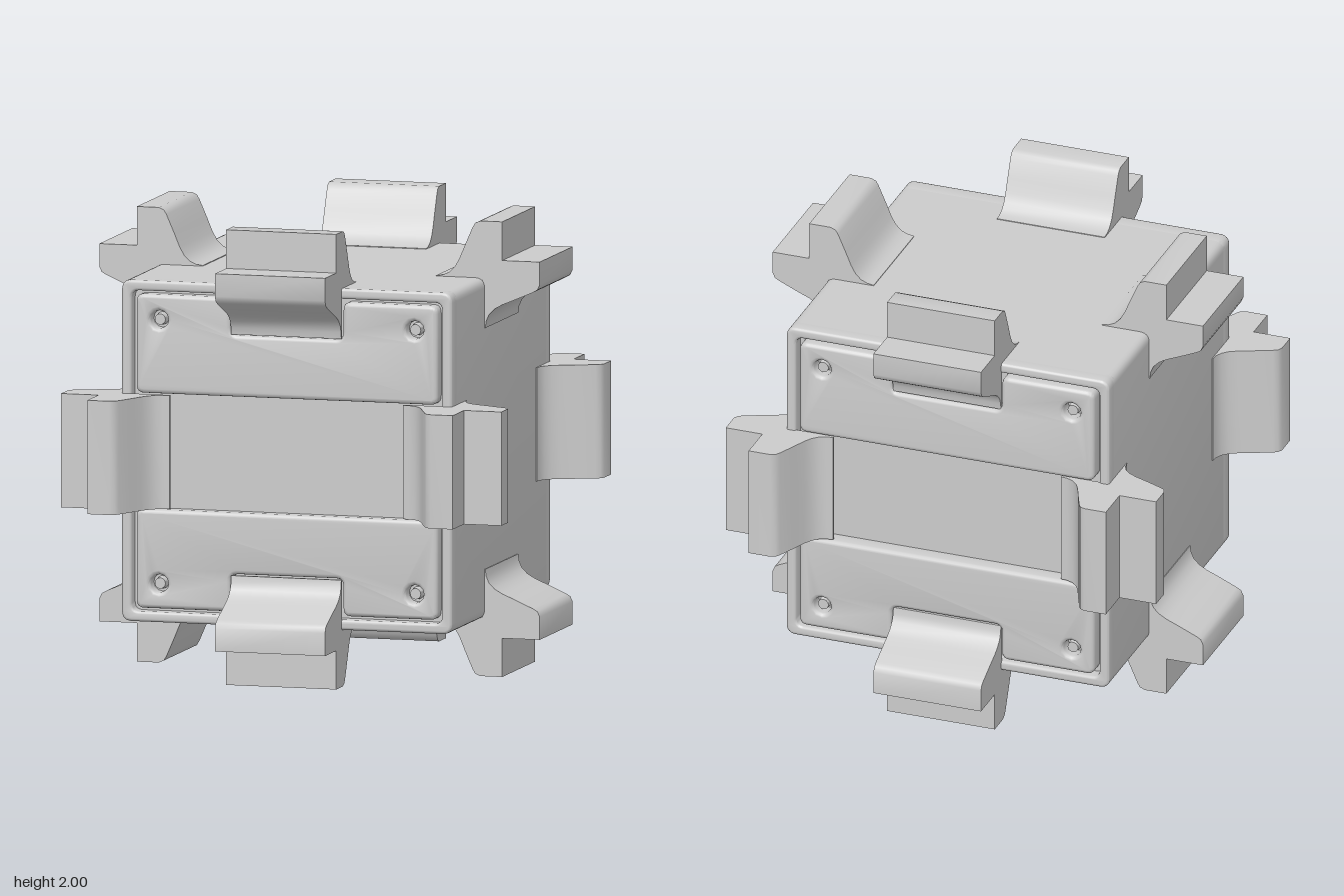
import * as THREE from 'three';
import { toCreasedNormals } from 'three/addons/utils/BufferGeometryUtils.js';

const material = new THREE.MeshStandardMaterial({ color: 0xcccccc });

function part(name, geometry, crease = 0.7) {
  const mesh = new THREE.Mesh(toCreasedNormals(geometry, crease), material);
  mesh.name = name;
  return mesh;
}

// Traces a polygon with every corner rounded by radius r.
function roundedPath(target, points, r) {
  const pts = points.map(([x, y]) => new THREE.Vector2(x, y));
  pts.forEach((p, i) => {
    const prev = pts[(i + pts.length - 1) % pts.length];
    const next = pts[(i + 1) % pts.length];
    const a = p.clone().add(prev.clone().sub(p).setLength(r));
    const b = p.clone().add(next.clone().sub(p).setLength(r));
    if (i === 0) target.moveTo(a.x, a.y);
    else target.lineTo(a.x, a.y);
    target.quadraticCurveTo(p.x, p.y, b.x, b.y);
  });
  target.closePath();
  return target;
}

const square = (h) => [[-h, -h], [h, -h], [h, h], [-h, h]];

const extrude = (shape, depth, bevel = 0) => new THREE.ExtrudeGeometry(shape, {
  depth, curveSegments: 6, bevelEnabled: bevel > 0,
  bevelSize: bevel, bevelThickness: bevel, bevelOffset: -bevel, bevelSegments: 3,
});

// Edge bracket: half of the section, mirrored across the diagonal.
function bracketGeometry() {
  const half = [
    [0.53, 0.74], [0.53, 0.753], [0.56, 0.757], [0.59, 0.77], [0.615, 0.795], [0.635, 0.83],
    [0.66, 0.89], [0.695, 0.97], [0.707, 0.99], [0.73, 1], [0.83, 1], [0.83, 0.83],
  ];
  const mirrored = half.slice(0, -1).reverse().map(([x, y]) => [y, x]);
  const outline = [...half, ...mirrored, [0.74, 0.74]].map(([x, y]) => new THREE.Vector2(x, y));
  return extrude(new THREE.Shape(outline), 0.5).translate(0, 0, -0.25);
}

// Screwed cover with a notch for the bracket and two screw wells.
function coverGeometry() {
  const shape = roundedPath(new THREE.Shape(), [
    [-0.685, 0.255], [0.685, 0.255], [0.685, 0.69], [0.255, 0.69],
    [0.255, 0.525], [-0.255, 0.525], [-0.255, 0.69], [-0.685, 0.69],
  ], 0.035);
  for (const x of [-0.58, 0.58]) {
    shape.holes.push(new THREE.Path().absarc(x, 0.58, 0.04, 0, Math.PI * 2, true));
  }
  return extrude(shape, 0.06, 0.018).translate(0, 0, 0.672);
}

// One detailed end: raised rim, two covers and four screws.
function endFace(name, coverOffset) {
  const face = new THREE.Group();
  face.name = name;

  const rim = roundedPath(new THREE.Shape(), square(0.75), 0.045);
  rim.holes.push(roundedPath(new THREE.Path(), square(0.705), 0.035));
  face.add(part('rim', extrude(rim, 0.066, 0.012).translate(0, 0, 0.672)));

  for (const [side, angle] of [['upper', 0], ['lower', Math.PI]]) {
    const cover = new THREE.Group();
    cover.name = side + 'Cover';
    cover.rotation.z = angle;
    cover.position.z = coverOffset;
    cover.add(part('coverPlate', coverGeometry()));
    for (const x of [-0.58, 0.58]) {
      const screw = part('screw', new THREE.CylinderGeometry(0.024, 0.03, 0.06, 20).rotateX(Math.PI / 2));
      screw.position.set(x, 0.58, 0.7);
      cover.add(screw);
    }
    face.add(cover);
  }
  return face;
}

export function createModel() {
  const model = new THREE.Group();
  model.name = 'bracketedCube';
  const cube = new THREE.Group();
  cube.name = 'cube';
  cube.position.y = 1;
  model.add(cube);

  // Solid core, set back behind both rims
  const core = roundedPath(new THREE.Shape(), square(0.75), 0.045);
  cube.add(part('core', extrude(core, 1.38).translate(0, 0, -0.69)));

  cube.add(endFace('frontFace', 0));
  const back = endFace('backFace', 0.012);
  back.rotation.y = Math.PI;
  cube.add(back);

  // Twelve brackets: four around each axis
  const bracket = bracketGeometry();
  const axes = [['depth', 0, 0], ['width', 0, Math.PI / 2], ['height', Math.PI / 2, 0]];
  for (const [name, rx, ry] of axes) {
    const ring = new THREE.Group();
    ring.name = name + 'Brackets';
    ring.rotation.set(rx, ry, 0);
    for (let k = 0; k < 4; k++) {
      const mesh = part('edgeBracket', bracket);
      mesh.rotation.z = k * Math.PI / 2;
      ring.add(mesh);
    }
    cube.add(ring);
  }
  return model;
}
